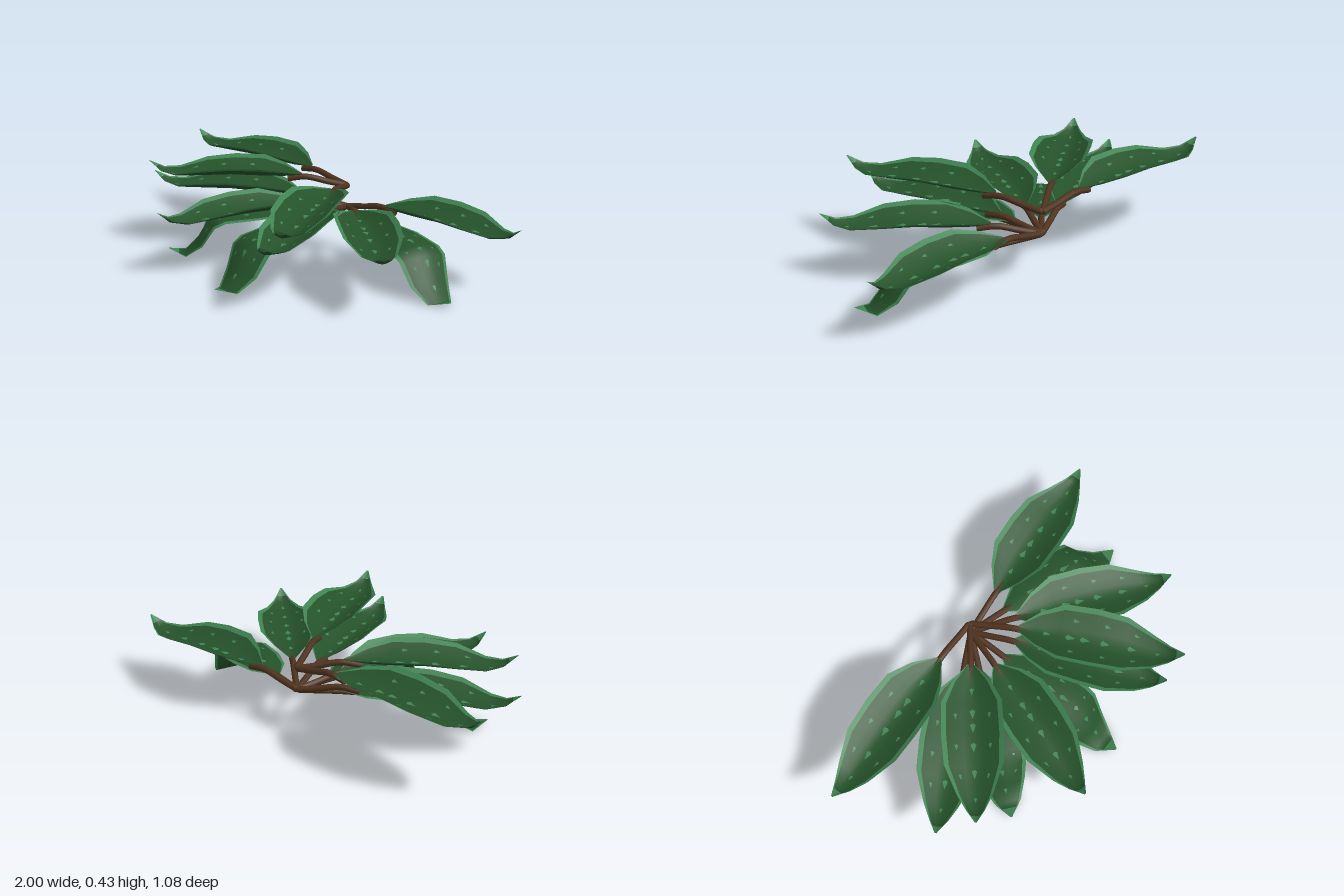
import * as THREE from 'three';
import { mergeGeometries } from 'three/addons/utils/BufferGeometryUtils.js';

const mat = (name, color, side = THREE.DoubleSide) =>
  Object.assign(new THREE.MeshStandardMaterial({ color, side }), { name });

// Leaf stations along the midrib: distance, height, half width, lift of the edges
const SPREAD = [
  [0.23, 0.02, 0.015, 0.005], [0.32, 0.012, 0.085, 0.045], [0.43, 0.012, 0.135, 0.068],
  [0.58, 0.015, 0.14, 0.065], [0.72, 0.008, 0.132, 0.055], [0.86, 0, 0.08, 0.028],
  [0.94, 0.02, 0.042, 0.015], [1.0, 0.072, 0.004, 0],
];
const DROOP = [
  [0.2, 0.215, 0.015, 0], [0.3, 0.218, 0.085, -0.01], [0.43, 0.22, 0.118, -0.018],
  [0.6, 0.213, 0.125, -0.025], [0.67, 0.185, 0.122, -0.03], [0.73, 0.08, 0.1, -0.025],
  [0.79, 0.004, 0.062, 0], [0.87, 0.03, 0.004, 0],
];
const HUB = new THREE.Vector3(0.03, 0, -0.38);

// [angle from the front in degrees, length factor]
const TIERS = [
  { name: 'upper', stations: SPREAD, y: 0.355, stemY: 0.33, leaves: [[-91, 1.03], [-54, 0.97], [22, 1]] },
  { name: 'middle', stations: SPREAD, y: 0.25, stemY: 0.225,
    leaves: [[-64.5, 1], [-24, 0.97], [16, 0.95], [48, 0.98], [90.5, 0.97]] },
  { name: 'drooping', stations: DROOP, y: 0, stemY: 0.222, leaves: [[-44, 1], [-4, 0.99], [70, 1]] },
];

// Point function of a leaf: s runs along the stations, v across from -1 to 1
function leafSurface(stations, y, angle, length) {
  const out = new THREE.Vector3(Math.sin(angle), 0, Math.cos(angle));
  const side = new THREE.Vector3(Math.cos(angle), 0, -Math.sin(angle));
  const last = stations.length - 1;
  const normalAt = (i) => {
    const a = stations[Math.max(i - 1, 0)], b = stations[Math.min(i + 1, last)];
    return new THREE.Vector2(a[1] - b[1], b[0] - a[0]).normalize();
  };
  return (s, v, offset = 0) => {
    const i = Math.min(Math.floor(s), last - 1), f = s - i;
    const [d, h, w, lift] = stations[i].map((p, k) => p + (stations[i + 1][k] - p) * f);
    const n = normalAt(i).lerp(normalAt(i + 1), f);
    const rise = lift * Math.abs(v) ** 1.5 + offset;
    return HUB.clone().addScaledVector(out, d * length + n.x * rise)
      .addScaledVector(side, w * v).setY(y + h + n.y * rise);
  };
}

// Grid of faces over a patch of the leaf
function patch(surface, rows, cols) {
  const positions = [], index = [], n = cols.length;
  for (const s of rows) for (const v of cols) positions.push(...surface(s, v).toArray());
  for (let r = 0; r < rows.length - 1; r++)
    for (let c = 0; c < n - 1; c++) {
      const a = r * n + c;
      index.push(a, a + n, a + 1, a + 1, a + n, a + n + 1);
    }
  return finish(positions, index);
}

function finish(positions, index) {
  const g = new THREE.BufferGeometry();
  g.setAttribute('position', new THREE.Float32BufferAttribute(positions, 3));
  g.setIndex(index);
  g.computeVertexNormals();
  return g;
}

// Small pointed fleck just above the blade
function fleck(surface, s, v, ds, dv) {
  const corners = [[s - ds, v], [s - ds * 0.6, v + dv], [s + ds, v], [s - ds * 0.6, v - dv]];
  return finish(corners.flatMap(([a, b]) => surface(a, b, 0.004).toArray()), [0, 2, 1, 0, 3, 2]);
}

export function createModel() {
  const model = new THREE.Group();
  model.name = 'leafCluster';
  const darkGreen = mat('leafGreen', 0x25522a);
  const lightGreen = mat('rimGreen', 0x3f8352);
  const brown = mat('stemBrown', 0x50331f);

  for (const tier of TIERS) {
    const group = new THREE.Group();
    group.name = tier.name + 'Leaves';
    model.add(group);

    for (const [degrees, length] of tier.leaves) {
      const angle = THREE.MathUtils.degToRad(degrees);
      const surface = leafSurface(tier.stations, tier.y, angle, length);
      const leaf = new THREE.Group();
      leaf.name = tier.name + 'Leaf';
      group.add(leaf);
      const add = (name, geometry, material) => {
        const mesh = new THREE.Mesh(geometry, material);
        mesh.name = name;
        leaf.add(mesh);
      };

      // Dark blade with a light rim and tip
      const rows = [0, 1, 2, 3, 4, 5, 6, 6.4];
      add('blade', patch(surface, rows, [-0.84, -0.6, -0.3, 0, 0.3, 0.6, 0.84]), darkGreen);
      add('rim', mergeGeometries([
        patch(surface, rows, [-1, -0.84]),
        patch(surface, rows, [0.84, 1]),
        patch(surface, [6.4, 7], [-1, -0.5, 0, 0.5, 1]),
      ]), lightGreen);

      // Flecks along the midrib and on both sides
      const flecks = [];
      for (const s of [1.4, 2.3, 2.75, 3.4, 4.3, 5.3]) flecks.push(fleck(surface, s, 0, 0.16, 0.1));
      for (const v of [-0.55, 0.55])
        for (const s of [2.4, 3.4, 4.4]) flecks.push(fleck(surface, s, v, 0.1, 0.06));
      add('flecks', mergeGeometries(flecks), lightGreen);

      // Stem from the hub to the underside of the leaf
      const at = (d, y) => new THREE.Vector3(HUB.x + Math.sin(angle) * d, y, HUB.z + Math.cos(angle) * d);
      const end = tier.stations[0][1] + tier.y - 0.008;
      const path = new THREE.CatmullRomCurve3([
        at(0.01, tier.stemY), at(0.1, tier.stemY + (end - tier.stemY) * 0.45),
        at(0.2, end), at(0.29, end - 0.012),
      ]);
      add('stem', new THREE.TubeGeometry(path, 8, 0.015, 7), brown);
      const cap = new THREE.SphereGeometry(0.015, 7, 5);
      cap.translate(...path.getPoint(0).toArray());
      add('stemEnd', cap, brown);
    }
  }
  return model;
}
